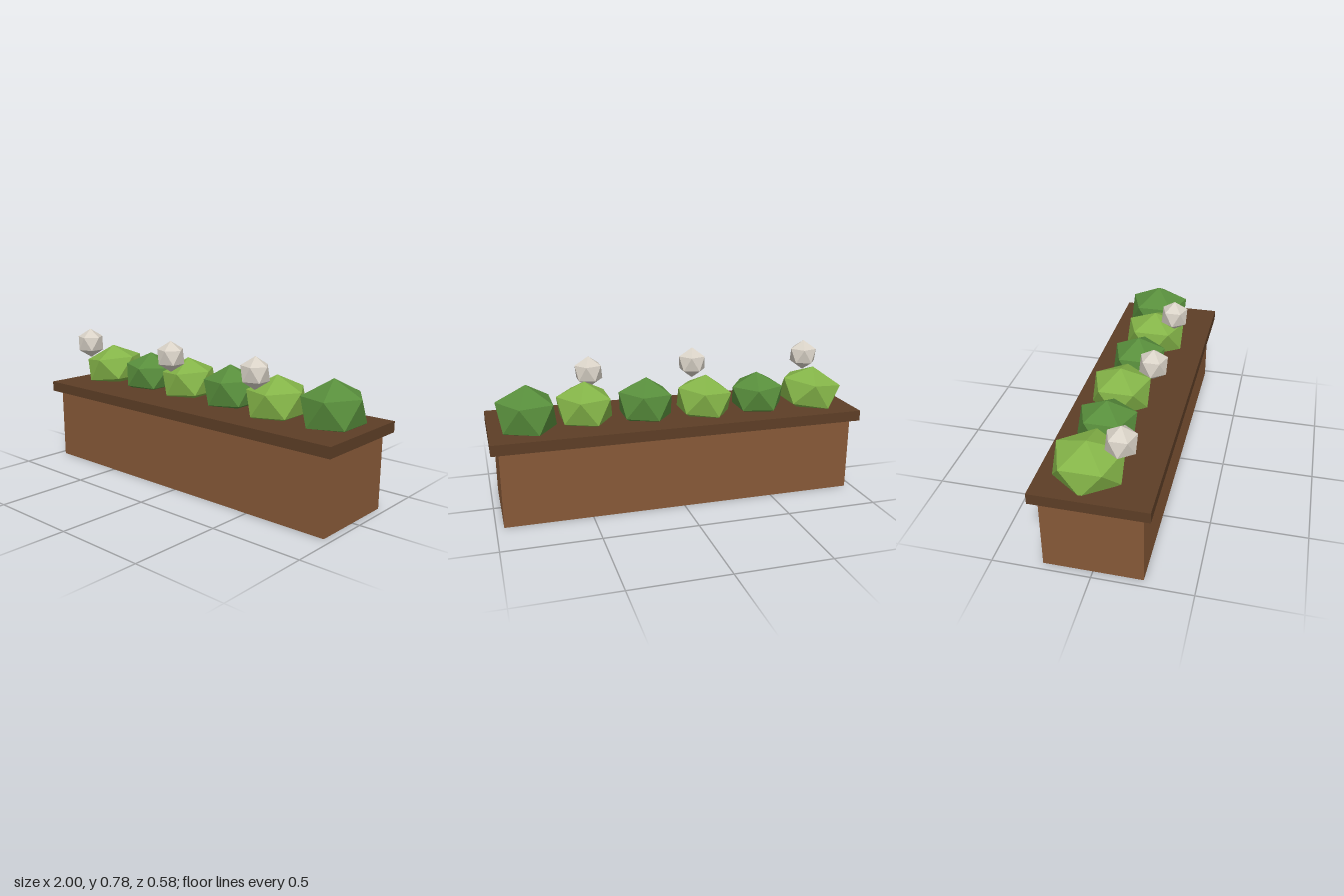
import * as THREE from 'three';

const mat = (name, color) => {
  const m = new THREE.MeshStandardMaterial({ color, flatShading: true });
  m.name = name;
  return m;
};

// Icosahedron standing on a corner, with one upper corner towards +x
function gem(rx, ry, rz, tilt = 0) {
  const g = new THREE.IcosahedronGeometry(1, 0);
  g.rotateZ(-Math.atan(2 / (1 + Math.sqrt(5))));
  g.scale(rx, ry, rz);
  g.rotateZ(tilt);
  g.computeVertexNormals();
  return g;
}

export function createModel() {
  const model = new THREE.Group();
  model.name = 'flowerPlanter';
  const wood = mat('wood', 0x875938);
  const rimWood = mat('darkWood', 0x5d3e26);
  const darkLeaf = mat('darkLeaf', 0x588e3c);
  const lightLeaf = mat('lightLeaf', 0x84b448);
  const petal = mat('petal', 0xd9d2c7);

  const add = (name, geometry, material, x, y, z) => {
    const mesh = new THREE.Mesh(geometry, material);
    mesh.name = name;
    mesh.position.set(x, y, z);
    model.add(mesh);
  };

  // Trough and overhanging rim
  add('trough', new THREE.BoxGeometry(1.92, 0.406, 0.5), wood, 0, 0.203, 0);
  add('rim', new THREE.BoxGeometry(2, 0.057, 0.577), rimWood, 0, 0.4335, 0);

  // Row of shrubs: x, z, radii x/y/z, tilt, alternating greens
  [
    [-0.8, -0.048, 0.185, 0.137, 0.195, 0.13],
    [-0.48, -0.045, 0.158, 0.13, 0.168, -0.04],
    [-0.165, -0.05, 0.168, 0.137, 0.175, 0.09],
    [0.16, -0.03, 0.166, 0.142, 0.162, 0.05],
    [0.487, -0.005, 0.168, 0.137, 0.19, 0.02],
    [0.797, -0.047, 0.176, 0.155, 0.194, 0.03],
  ].forEach(([x, z, rx, ry, rz, tilt], i) =>
    add('shrub' + (i + 1), gem(rx, ry, rz, tilt), i % 2 ? darkLeaf : lightLeaf, x, 0.532, z));

  // Blossoms above the lighter shrubs
  [[-0.832, 0.699], [-0.15, 0.699], [0.438, 0.688]].forEach(([x, y], i) =>
    add('blossom' + (i + 1), gem(0.084, 0.086, 0.083), petal, x, y, 0.117));

  return model;
}
